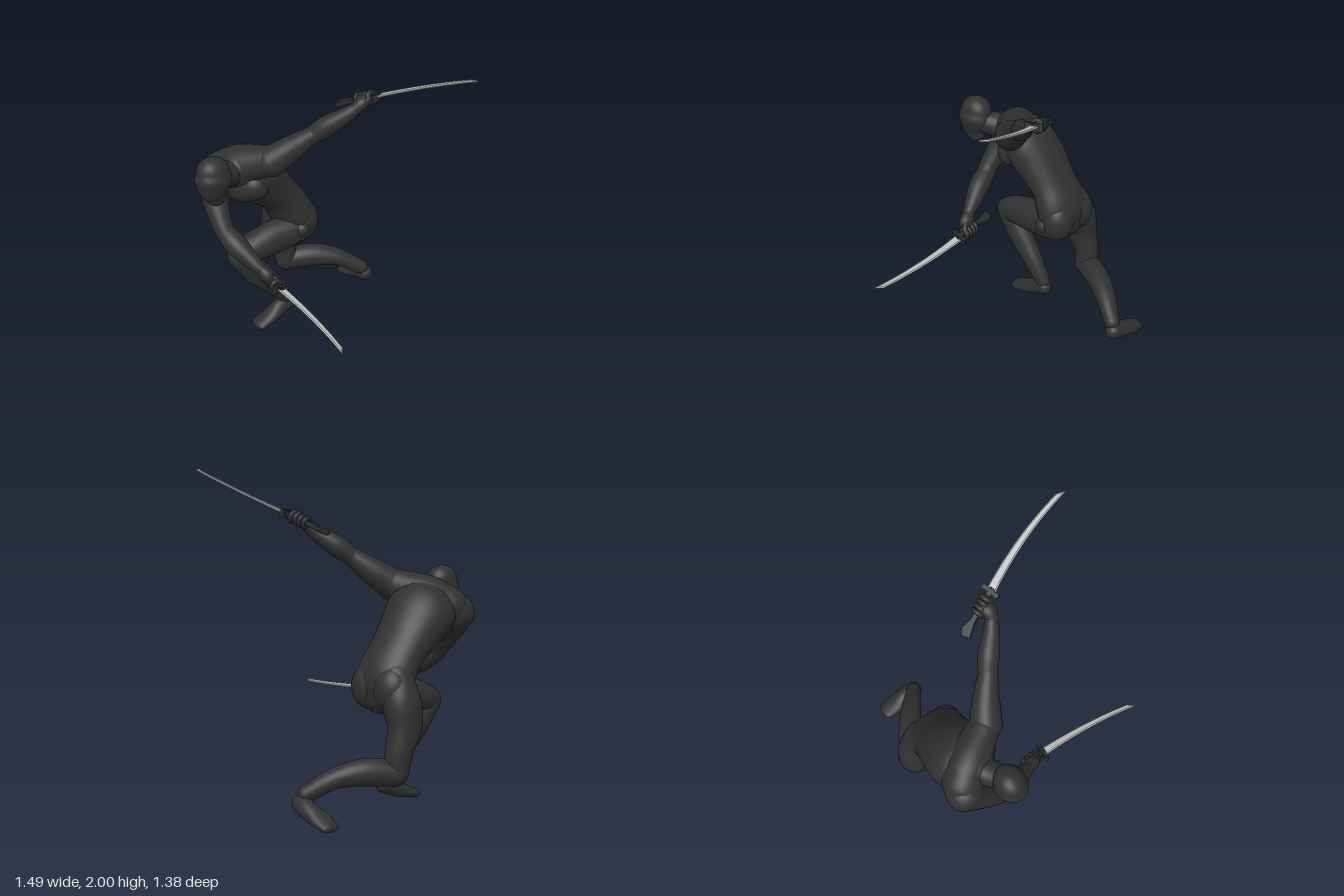
import * as THREE from 'three';

const material = (name, color) => {
  const m = new THREE.MeshStandardMaterial({ color });
  m.name = name;
  return m;
};
const V = (x, y, z) => new THREE.Vector3(x, y, z);

// Smooth rounded body through stations [x, y, z, sideRadius, depthRadius].
function loft(stations, side, sideEnd = side, steps = 24, around = 28) {
  const path = new THREE.CatmullRomCurve3(stations.map(s => V(s[0], s[1], s[2])), false, 'catmullrom');
  const radii = new THREE.CatmullRomCurve3(stations.map(s => V(s[3], s[4] ?? s[3], 0)), false, 'catmullrom');
  const pos = [], index = [];
  let rows = 0;
  const ring = (t, angle, sign) => {
    const T = path.getTangent(t), r = radii.getPoint(t);
    const S = side.clone().lerp(sideEnd, t);
    S.addScaledVector(T, -S.dot(T)).normalize();
    const B = T.clone().cross(S);
    const c = path.getPoint(t).addScaledVector(T, sign * Math.sin(angle) * Math.min(r.x, r.y));
    const k = Math.max(Math.cos(angle), 0.002);
    for (let j = 0; j < around; j++) {
      const a = j / around * Math.PI * 2;
      const p = c.clone().addScaledVector(S, Math.cos(a) * r.x * k).addScaledVector(B, Math.sin(a) * r.y * k);
      pos.push(p.x, p.y, p.z);
    }
    rows++;
  };
  const caps = 7;
  for (let i = caps; i > 0; i--) ring(0, i / caps * Math.PI / 2, -1);
  for (let i = 0; i <= steps; i++) ring(i / steps, 0, 0);
  for (let i = 1; i <= caps; i++) ring(1, i / caps * Math.PI / 2, 1);
  for (let i = 0; i < rows - 1; i++) {
    for (let j = 0; j < around; j++) {
      const a = i * around + j, b = i * around + (j + 1) % around;
      index.push(a, b, a + around, b, b + around, a + around);
    }
  }
  const g = new THREE.BufferGeometry();
  g.setAttribute('position', new THREE.Float32BufferAttribute(pos, 3));
  g.setIndex(index);
  g.computeVertexNormals();
  return g;
}

export function createModel() {
  const model = new THREE.Group();
  model.name = 'swordFighter';
  const body = material('charcoal body', 0x303030);
  const grip = material('dark grip', 0x2a2a2a);
  const steel = material('blade steel', 0xbdbdbd);
  const X = V(1, 0, 0), Z = V(0, 0, 1);

  const add = (name, geometry, mat = body, parent = model) => {
    const mesh = new THREE.Mesh(geometry, mat);
    mesh.name = name;
    parent.add(mesh);
    return mesh;
  };
  const ball = (name, x, y, z, rx, ry = rx, rz = rx) => {
    const mesh = add(name, new THREE.SphereGeometry(1, 28, 20));
    mesh.position.set(x, y, z);
    mesh.scale.set(rx, ry, rz);
  };

  // Torso, twisting towards the lowered right shoulder
  add('torso', loft([
    [-0.475, 0.69, -0.08, 0.18, 0.11], [-0.475, 0.80, -0.06, 0.195, 0.135],
    [-0.482, 0.93, 0.02, 0.18, 0.128], [-0.485, 1.06, 0.14, 0.198, 0.157],
    [-0.475, 1.17, 0.26, 0.21, 0.167], [-0.46, 1.22, 0.35, 0.15, 0.12]], X, V(0.32, 0.13, -0.2)));
  add('shoulders', loft([[-0.55, 1.18, 0.39, 0.125], [-0.45, 1.24, 0.31, 0.128], [-0.30, 1.30, 0.22, 0.098]], Z));
  add('chest', loft([[-0.53, 1.07, 0.31, 0.10], [-0.44, 1.09, 0.30, 0.105], [-0.36, 1.12, 0.27, 0.095]], Z));
  for (const [name, x] of [['leftGlute', -0.39], ['rightGlute', -0.57]]) ball(name, x, 0.74, -0.10, 0.115, 0.14, 0.11);
  ball('leftHipJoint', -0.315, 0.715, -0.05, 0.055);

  // Head and neck
  add('neck', loft([[-0.45, 1.22, 0.36, 0.095], [-0.39, 1.235, 0.46, 0.08], [-0.35, 1.25, 0.53, 0.075]], X));
  add('head', loft([
    [-0.33, 1.155, 0.565, 0.058, 0.066], [-0.333, 1.20, 0.575, 0.08, 0.095],
    [-0.34, 1.265, 0.572, 0.101, 0.118], [-0.345, 1.32, 0.57, 0.088, 0.105]], X));

  // Raised left arm
  add('leftUpperArm', loft([[-0.27, 1.305, 0.205, 0.098], [-0.20, 1.39, 0.10, 0.08], [-0.12, 1.48, 0.0, 0.056]], V(0, 1, 0)));
  add('leftForearm', loft([[-0.125, 1.475, 0.0, 0.055], [-0.07, 1.54, -0.07, 0.064], [0.0, 1.61, -0.15, 0.05], [0.04, 1.66, -0.205, 0.037]], V(0, 1, 0)));
  add('leftPalm', loft([[0.04, 1.66, -0.20, 0.035], [0.045, 1.69, -0.24, 0.047, 0.04], [0.03, 1.705, -0.275, 0.045, 0.03]], X));
  add('leftThumb', loft([[0.06, 1.69, -0.23, 0.018], [0.075, 1.715, -0.27, 0.016], [0.06, 1.735, -0.31, 0.014]], X, X, 12, 12));

  // Right arm reaching down across the body
  add('rightUpperArm', loft([[-0.57, 1.14, 0.44, 0.118], [-0.49, 1.03, 0.48, 0.085], [-0.40, 0.92, 0.50, 0.066], [-0.35, 0.86, 0.50, 0.06]], Z));
  add('rightForearm', loft([[-0.36, 0.865, 0.50, 0.06], [-0.27, 0.81, 0.48, 0.07], [-0.17, 0.745, 0.445, 0.054], [-0.10, 0.70, 0.42, 0.038]], Z));
  add('rightPalm', loft([[-0.10, 0.70, 0.415, 0.036], [-0.06, 0.665, 0.40, 0.042, 0.05], [-0.045, 0.63, 0.385, 0.03, 0.045]], Z));
  add('rightThumb', loft([[-0.05, 0.68, 0.39, 0.018], [-0.01, 0.65, 0.365, 0.016], [0.0, 0.62, 0.345, 0.014]], Z, Z, 12, 12));

  // Left leg stepping forward
  add('leftThigh', loft([[-0.385, 0.70, -0.06, 0.108], [-0.405, 0.665, 0.12, 0.10, 0.114], [-0.425, 0.63, 0.27, 0.098], [-0.43, 0.60, 0.355, 0.084]], X));
  add('leftShin', loft([[-0.43, 0.585, 0.352, 0.082], [-0.42, 0.43, 0.235, 0.072, 0.088], [-0.41, 0.30, 0.12, 0.062, 0.07], [-0.405, 0.17, 0.025, 0.047, 0.052]], X));
  add('leftFoot', loft([[-0.40, 0.125, 0.005, 0.046, 0.05], [-0.405, 0.105, 0.07, 0.052, 0.058], [-0.405, 0.063, 0.15, 0.064, 0.045], [-0.408, 0.029, 0.25, 0.065, 0.028]], X));

  // Right leg trailing, knee low and shin swept back
  add('rightThigh', loft([[-0.575, 0.81, -0.07, 0.095], [-0.625, 0.67, -0.08, 0.108, 0.12], [-0.655, 0.54, -0.085, 0.094, 0.112], [-0.66, 0.40, -0.135, 0.082], [-0.648, 0.275, -0.153, 0.078]], X));
  add('rightShin', loft([[-0.65, 0.275, -0.16, 0.078], [-0.56, 0.29, -0.32, 0.078, 0.08], [-0.47, 0.265, -0.46, 0.067, 0.06], [-0.375, 0.18, -0.595, 0.05]], X));
  add('rightFoot', loft([[-0.365, 0.128, -0.62, 0.055, 0.055], [-0.43, 0.108, -0.63, 0.055, 0.054], [-0.52, 0.07, -0.62, 0.068, 0.042], [-0.6, 0.042, -0.62, 0.06, 0.027]], Z));

  // Curved sword: local x runs along the blade, local y across its width
  function sword(name, base, tip, across, bow) {
    const group = new THREE.Group();
    group.name = name;
    const u = tip.clone().sub(base), L = u.length();
    u.normalize();
    const w = across.clone().addScaledVector(u, -across.dot(u)).normalize();
    group.applyMatrix4(new THREE.Matrix4().makeBasis(u, w, u.clone().cross(w)).setPosition(base));

    const edge = new THREE.Shape();
    edge.moveTo(0, -0.028);
    edge.quadraticCurveTo(L * 0.5, 0.006 + bow, L, 0);
    edge.lineTo(L * 0.93, 0.036);
    edge.quadraticCurveTo(L * 0.5, 0.042 + bow, 0, 0.03);
    add('blade', new THREE.ExtrudeGeometry(edge, {
      depth: 0.004, bevelThickness: 0.005, bevelSize: 0.007, bevelOffset: -0.007, bevelSegments: 1, curveSegments: 20,
    }).translate(0, 0, -0.002), steel, group);

    // Grip flaring into a wide pommel
    const hilt = new THREE.Shape([[0.02, -0.016], [0.02, 0.016], [-0.10, 0.01], [-0.19, -0.004],
      [-0.26, 0.008], [-0.30, -0.016], [-0.28, -0.068], [-0.20, -0.038], [-0.10, -0.022]].map(p => new THREE.Vector2(...p)));
    add('grip', new THREE.ExtrudeGeometry(hilt, {
      depth: 0.016, bevelThickness: 0.007, bevelSize: 0.005, bevelOffset: -0.004, bevelSegments: 2,
    }).translate(0, 0, -0.008), grip, group);

    // Guard bar with rounded ends
    add('guard', new THREE.BoxGeometry(0.024, 0.09, 0.042), grip, group);
    for (const s of [-1, 1]) {
      add('guardEnd', new THREE.CylinderGeometry(0.016, 0.016, 0.046, 12).rotateX(Math.PI / 2).translate(0, s * 0.042, 0), grip, group);
    }

    // Four fingers curled round the grip
    for (let i = 0; i < 4; i++) {
      const finger = add('finger', new THREE.TorusGeometry(0.03, 0.0155 - i * 0.0006, 10, 20).rotateY(Math.PI / 2), body, group);
      finger.position.set(-0.05 - i * 0.03, -0.004 - i * 0.003, 0);
    }
    model.add(group);
  }
  sword('raisedSword', V(0.105, 1.735, -0.315), V(0.73, 1.995, -0.5), V(-0.24, 0.12, -1), 0.038);
  sword('lowSword', V(0.045, 0.605, 0.365), V(0.74, 0.56, 0.42), V(0, -0.2, -1), 0.022);

  return model;
}
